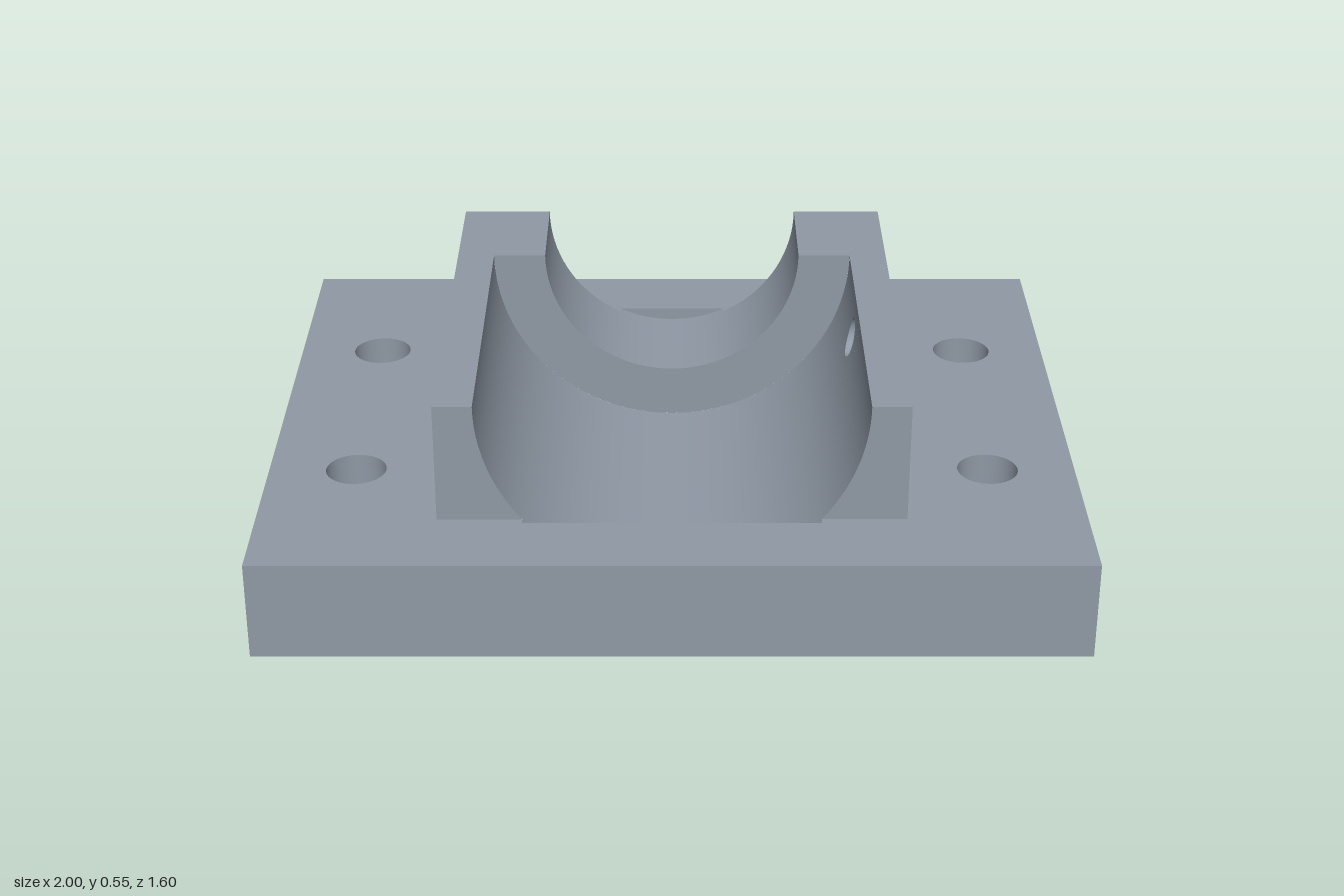
import * as THREE from 'three';
import { ParametricGeometry } from 'three/addons/geometries/ParametricGeometry.js';

const W = 1, D = 0.8, B = 0.25;              // base half width, half depth, height
const CW = 0.565, CD = 0.583, TOP = 0.553;   // cradle half width, half depth, top height
const R = 0.47, RS = 0.335;                  // large and small bore radius
const STEP = -0.288, POCKET = 0.6;           // z of the bore step, half length of the bores
const PIN = { y: 0.453, r: 0.05 };           // cross hole in the +x cheek
const BOLT = { x: 0.784, z: 0.334, r: 0.075 };

const V = (x, y) => new THREE.Vector2(x, y);
const rect = (x0, y0, x1, y1) => new THREE.Shape([V(x0, y0), V(x1, y0), V(x1, y1), V(x0, y1)]);
const circle = (x, y, r) => new THREE.Path().absarc(x, y, r, 0, Math.PI * 2, false);
const arc = (r, a, b, n = 48) =>
  Array.from({ length: n + 1 }, (_, i) => {
    const t = a + (b - a) * i / n;
    return V(r * Math.cos(t), TOP - r * Math.sin(t));
  });
// angle at which a bore meets the top of the base
const baseAngle = r => Math.asin((TOP - B) / r);

export function createModel() {
  const steel = new THREE.MeshStandardMaterial({ color: 0x8f99a5 });
  steel.name = 'steel grey';
  const model = new THREE.Group();
  model.name = 'bearingBlock';
  const base = new THREE.Group();
  base.name = 'basePlate';
  const cradle = new THREE.Group();
  cradle.name = 'cradle';
  model.add(base, cradle);

  const add = (parent, name, geometry) => {
    const mesh = new THREE.Mesh(geometry, steel);
    mesh.name = name;
    parent.add(mesh);
  };
  // flat face pointing along an axis, at a given distance
  const flat = (parent, name, shape, axis, at) => {
    const g = new THREE.ShapeGeometry(shape, 24);
    if (axis === '-z') g.rotateY(Math.PI);
    if (axis === '+y') g.rotateX(-Math.PI / 2);
    if (axis === '-y') g.rotateX(Math.PI / 2);
    if (axis === '+x') g.rotateY(Math.PI / 2);
    if (axis === '-x') g.rotateY(-Math.PI / 2);
    g.translate(axis[1] === 'x' ? at : 0, axis[1] === 'y' ? at : 0, axis[1] === 'z' ? at : 0);
    add(parent, name, g);
  };
  // surface over u, v in 0..1, facing along u cross v
  const surface = (parent, name, f, nu, nv) =>
    add(parent, name, new ParametricGeometry((u, v, p) => p.set(...f(u, v)), nu, nv));
  const onBore = (r, t, z) => [r * Math.cos(t), TOP - r * Math.sin(t), z];
  const bore = (parent, name, r, t0, t1, z0, z1) =>
    surface(parent, name, (u, v) => onBore(r, t0 + (t1 - t0) * u, z0 + (z1 - z0) * v), 48, 1);

  // base faces with bolt holes; the top is also open for the bores
  const lower = rect(-W, -D, W, D), upper = rect(-W, -D, W, D);
  for (const x of [-BOLT.x, BOLT.x]) for (const z of [-BOLT.z, BOLT.z]) {
    lower.holes.push(circle(x, z, BOLT.r));
    upper.holes.push(circle(x, z, BOLT.r));
    surface(base, 'boltHole', (u, v) => {
      const a = u * Math.PI * 2;
      return [x + BOLT.r * Math.cos(a), B * v, z + BOLT.r * Math.sin(a)];
    }, 48, 1);
  }
  const cL = R * Math.cos(baseAngle(R)), cS = RS * Math.cos(baseAngle(RS));
  upper.holes.push(new THREE.Path([
    V(-cL, -POCKET), V(cL, -POCKET), V(cL, -STEP), V(cS, -STEP),
    V(cS, POCKET), V(-cS, POCKET), V(-cS, -STEP), V(-cL, -STEP)]));
  flat(base, 'baseTop', upper, '+y', B);
  flat(base, 'baseBottom', lower, '-y', 0);
  for (const s of ['+', '-']) {
    const k = s === '+' ? 1 : -1;
    flat(base, 'baseEnd', rect(-W, 0, W, B), s + 'z', k * D);
    flat(base, 'baseSide', rect(-D, 0, D, B), s + 'x', k * W);
  }

  // short bore run-outs sunk into the base, with their end walls
  for (const [r, z0, z1, axis, end] of [[R, CD, POCKET, '-z', POCKET], [RS, -POCKET, -CD, '+z', -POCKET]]) {
    const t = baseAngle(r);
    bore(base, 'boreRunOut', r, t, Math.PI - t, z0, z1);
    flat(base, 'runOutWall', new THREE.Shape(arc(r, t, Math.PI - t)), axis, end);
  }

  // cradle outer walls, the +x one pierced by the cross hole
  const pierced = rect(-CD, B, CD, TOP);
  pierced.holes.push(circle(0, PIN.y, PIN.r));
  flat(cradle, 'leftWall', pierced, '+x', CW);
  flat(cradle, 'rightWall', rect(-CD, B, CD, TOP), '-x', -CW);

  // cradle end faces and top rims on both cheeks
  for (const k of [1, -1]) {
    for (const [r, axis, z] of [[R, '+z', CD], [RS, '-z', -CD]]) {
      const points = [...arc(r, 0, baseAngle(r), 24), V(CW, B), V(CW, TOP)];
      flat(cradle, 'cheekEnd', new THREE.Shape(points.map(p => V(k * p.x, p.y))), axis, z);
    }
    const rim = [V(R, -CD), V(CW, -CD), V(CW, CD), V(RS, CD), V(RS, -STEP), V(R, -STEP)];
    flat(cradle, 'cheekRim', new THREE.Shape(rim.map(p => V(k * p.x, p.y))), '+y', TOP);
  }

  // shoulder between the two bores
  flat(cradle, 'boreShoulder',
    new THREE.Shape([...arc(R, 0, Math.PI), ...arc(RS, Math.PI, 0)]), '+z', STEP);

  // bores; the large one leaves a window around the cross hole
  const drop = TOP - PIN.y, mid = Math.asin(drop / R), window = 0.1;
  bore(cradle, 'smallBore', RS, 0, Math.PI, -CD, STEP);
  bore(cradle, 'largeBore', R, mid * 2, Math.PI, STEP, CD);
  bore(cradle, 'largeBoreBehindHole', R, 0, mid * 2, STEP, -window);
  bore(cradle, 'largeBoreBeforeHole', R, 0, mid * 2, window, CD);
  surface(cradle, 'largeBoreAroundHole', (u, v) => {
    const a = v * Math.PI * 2, c = Math.cos(a), s = Math.sin(a);
    const m = Math.max(Math.abs(c), Math.abs(s));
    const t = Math.asin((drop + PIN.r * c) / R) * (1 - u) + mid * (1 + c / m) * u;
    return onBore(R, t, PIN.r * s * (1 - u) + window * s / m * u);
  }, 6, 48);

  // cross hole from the large bore to the outer wall
  surface(cradle, 'crossHole', (u, v) => {
    const a = u * Math.PI * 2, h = drop + PIN.r * Math.cos(a);
    const x = Math.sqrt(R * R - h * h);
    return [x + (CW - x) * v, TOP - h, PIN.r * Math.sin(a)];
  }, 48, 1);

  return model;
}
